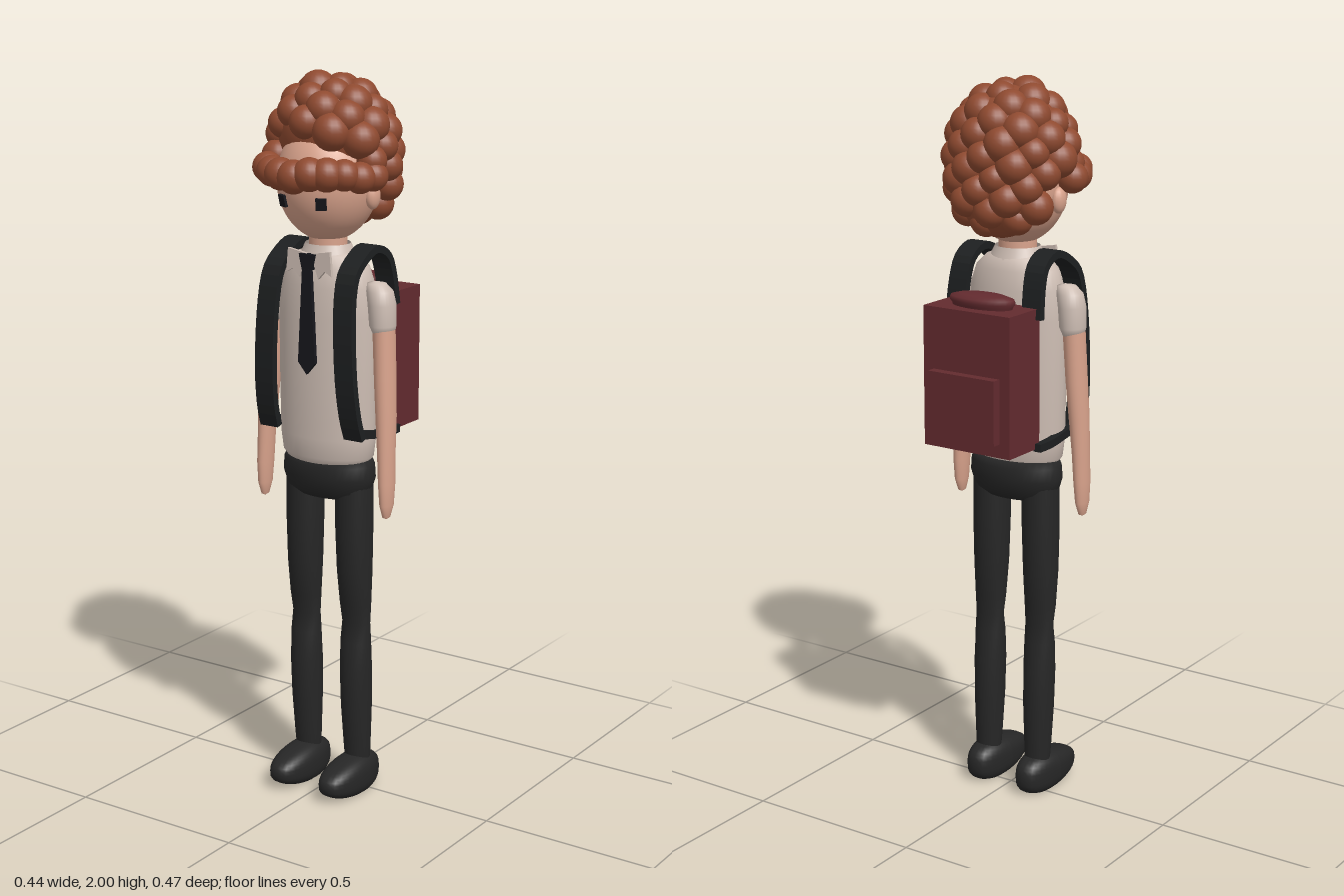
import * as THREE from 'three';

const mat = (name, color, side = THREE.FrontSide) =>
  Object.assign(new THREE.MeshStandardMaterial({ color, side }), { name });

export function createModel() {
  const root = new THREE.Group();
  root.name = 'student';
  const skin = mat('skin', 0xd9a38c);
  const hair = mat('hair', 0x8f4a30);
  const shirt = mat('shirt', 0xcdbdb3, THREE.DoubleSide);
  const trousers = mat('trousers', 0x262626);
  const strapMat = mat('strap', 0x1d1f20);
  const tieMat = mat('tie', 0x16171c);
  const pack = mat('backpack', 0x632b2f);

  const add = (name, geo, m, parent = root) => {
    const mesh = new THREE.Mesh(geo, m);
    mesh.name = name;
    parent.add(mesh);
    return mesh;
  };

  // Smooth body from elliptical rings [y, cx, cz, rx, rz], listed bottom to top
  const loft = (rings, n = 28) => {
    const pos = [], idx = [];
    rings.forEach(([y, cx, cz, rx, rz]) => {
      for (let i = 0; i < n; i++) {
        const a = (i / n) * Math.PI * 2;
        pos.push(cx + rx * Math.cos(a), y, cz + rz * Math.sin(a));
      }
    });
    for (let r = 0; r < rings.length - 1; r++) {
      for (let i = 0; i < n; i++) {
        const a = r * n + i, b = r * n + (i + 1) % n;
        idx.push(a, a + n, b, b, a + n, b + n);
      }
    }
    const g = new THREE.BufferGeometry();
    g.setAttribute('position', new THREE.Float32BufferAttribute(pos, 3));
    g.setIndex(idx);
    g.computeVertexNormals();
    return g;
  };

  const ellipsoid = (x, y, z, rx, ry, rz, w = 32, h = 20) =>
    new THREE.SphereGeometry(1, w, h).scale(rx, ry, rz).translate(x, y, z);

  // Thin plate cut from an outline in the xy plane
  const plate = (pts, depth) => new THREE.ExtrudeGeometry(
    new THREE.Shape(pts.map(p => new THREE.Vector2(...p))), { depth, bevelEnabled: false });

  // Flat band following a [z, y] path, leaning sideways by xAt(y)
  const band = (path, width, thick, xAt) => {
    const curve = new THREE.SplineCurve(path.map(p => new THREE.Vector2(...p)));
    const outer = [], inner = [];
    for (let i = 0; i <= 28; i++) {
      const p = curve.getPoint(i / 28), t = curve.getTangent(i / 28);
      outer.push([p.x - t.y * thick / 2, p.y + t.x * thick / 2]);
      inner.unshift([p.x + t.y * thick / 2, p.y - t.x * thick / 2]);
    }
    const g = plate([...outer, ...inner], width);
    g.rotateY(-Math.PI / 2).translate(width / 2, 0, 0);
    const p = g.attributes.position;
    for (let i = 0; i < p.count; i++) p.setX(i, p.getX(i) + xAt(p.getY(i)));
    g.computeVertexNormals();
    return g;
  };

  // Torso, hips and neck
  add('shirt', loft([
    [0.95, 0, 0.03, 0, 0], [0.95, 0, 0.03, 0.115, 0.075], [0.975, 0, 0.03, 0.136, 0.086],
    [1.03, 0, 0.03, 0.143, 0.092], [1.2, 0, 0.03, 0.145, 0.094], [1.36, 0, 0.03, 0.147, 0.092],
    [1.44, 0, 0.03, 0.14, 0.088], [1.49, 0, 0.03, 0.122, 0.08], [1.52, 0, 0.03, 0.09, 0.068],
    [1.535, 0, 0.03, 0.05, 0.045], [1.535, 0, 0.03, 0, 0]], 36), shirt);
  add('hips', loft([
    [0.855, 0, 0.025, 0, 0], [0.855, 0, 0.025, 0.1, 0.055], [0.875, 0, 0.025, 0.128, 0.075],
    [0.915, 0, 0.025, 0.14, 0.087], [0.95, 0, 0.025, 0.137, 0.087], [0.97, 0, 0.025, 0.128, 0.08],
    [0.972, 0, 0.025, 0, 0]], 36), trousers);
  add('neck', loft([[1.5, 0, 0.03, 0.052, 0.05], [1.62, 0, 0.03, 0.052, 0.05]]), skin);
  add('collarStand', loft([[1.515, 0, 0.03, 0.078, 0.07], [1.548, 0, 0.03, 0.062, 0.058]]), shirt);

  // Limbs, collar wings and straps, one set per side
  for (const s of [1, -1]) {
    const side = new THREE.Group();
    side.name = s > 0 ? 'leftSide' : 'rightSide';
    root.add(side);

    add('sleeve', loft([
      [1.322, s * 0.178, 0.032, 0, 0], [1.322, s * 0.178, 0.032, 0.027, 0.032],
      [1.345, s * 0.175, 0.032, 0.035, 0.039], [1.4, s * 0.172, 0.032, 0.037, 0.04],
      [1.435, s * 0.165, 0.032, 0.036, 0.036], [1.455, s * 0.155, 0.032, 0.026, 0.024],
      [1.46, s * 0.15, 0.032, 0, 0]]), shirt, side);
    add('arm', loft([
      [0.82, s * 0.2, 0.048, 0, 0], [0.826, s * 0.2, 0.048, 0.009, 0.014],
      [0.86, s * 0.2, 0.047, 0.016, 0.026], [0.92, s * 0.199, 0.046, 0.02, 0.03],
      [1.0, s * 0.196, 0.044, 0.022, 0.03], [1.1, s * 0.192, 0.04, 0.026, 0.033],
      [1.2, s * 0.186, 0.036, 0.028, 0.034], [1.35, s * 0.178, 0.032, 0.029, 0.034]]), skin, side);
    add('leg', loft([
      [0.08, s * 0.083, 0.008, 0.036, 0.032], [0.13, s * 0.083, 0.01, 0.039, 0.035],
      [0.25, s * 0.083, 0.014, 0.043, 0.044], [0.36, s * 0.083, 0.017, 0.045, 0.045],
      [0.44, s * 0.083, 0.018, 0.045, 0.036], [0.495, s * 0.083, 0.016, 0.043, 0.026],
      [0.55, s * 0.083, 0.02, 0.046, 0.036], [0.65, s * 0.082, 0.023, 0.05, 0.047],
      [0.78, s * 0.081, 0.024, 0.052, 0.053], [0.9, s * 0.08, 0.024, 0.052, 0.053]]), trousers, side);

    // Shoe: squared-off ball with a flat sole, lower toward the toe
    const shoe = new THREE.SphereGeometry(1, 32, 20);
    const p = shoe.attributes.position;
    const sq = v => Math.sign(v) * Math.abs(v) ** 0.75;
    for (let i = 0; i < p.count; i++) {
      const z = p.getZ(i);
      const y = 0.048 + sq(p.getY(i)) * (0.056 - 0.012 * z);
      p.setXYZ(i, s * 0.083 + sq(p.getX(i)) * 0.054, Math.max(y, 0), 0.05 + z * 0.12);
    }
    shoe.computeVertexNormals();
    add('shoe', shoe, trousers, side);

    // Collar wing
    const wing = [[0.006, 1.53], [0.03, 1.465], [0.05, 1.487], [0.072, 1.475], [0.066, 1.54]];
    const pts = wing.map(([x, y]) => [s * x, y]);
    const wingMesh = add('collarWing', plate(pts, 0.009), shirt, side);
    wingMesh.position.z = 0.112;

    // Shoulder strap and the thin strap back under the arm
    add('shoulderStrap', band([[-0.08, 1.38], [-0.068, 1.46], [-0.045, 1.515], [0.01, 1.54],
      [0.07, 1.515], [0.115, 1.47], [0.135, 1.37], [0.138, 1.22], [0.125, 1.11], [0.105, 1.045]],
    0.058, 0.02, y => s * (0.115 + (1.55 - y) * 0.042)), strapMat, side);
    add('lowerStrap', band([[0.115, 1.06], [0.04, 1.045], [-0.03, 1.035], [-0.09, 1.035]],
      0.022, 0.022, () => s * 0.143), strapMat, side);
  }

  // Tie
  add('tieKnot', plate([[-0.024, 1.53], [-0.014, 1.488], [0.014, 1.488], [0.024, 1.53]], 0.02), tieMat)
    .position.z = 0.112;
  add('tieBlade', plate([[-0.013, 1.49], [-0.027, 1.24], [0, 1.208], [0.027, 1.24], [0.013, 1.49]], 0.012), tieMat)
    .position.z = 0.121;

  // Backpack
  const bag = new THREE.Group();
  bag.name = 'backpack';
  root.add(bag);
  add('bagBody', new THREE.BoxGeometry(0.274, 0.38, 0.14).translate(0, 1.22, -0.14), pack, bag);
  add('bagPocket', new THREE.BoxGeometry(0.21, 0.175, 0.03).translate(0, 1.155, -0.221), pack, bag);
  add('bagTop', loft([
    [1.4, 0, -0.135, 0.09, 0.042], [1.415, 0, -0.135, 0.092, 0.044], [1.425, 0, -0.135, 0.1, 0.051],
    [1.435, 0, -0.135, 0.096, 0.047], [1.442, 0, -0.135, 0.07, 0.034], [1.443, 0, -0.135, 0, 0]]), pack, bag);

  // Head, ears and eyes
  const head = new THREE.Group();
  head.name = 'head';
  root.add(head);
  add('face', ellipsoid(0, 1.715, 0.03, 0.135, 0.163, 0.138, 40, 28), skin, head);
  for (const s of [1, -1]) {
    add('ear', ellipsoid(s * 0.135, 1.68, 0.022, 0.018, 0.035, 0.025, 16, 12), skin, head);
    const eye = add('eye', new THREE.BoxGeometry(0.028, 0.032, 0.008), tieMat, head);
    eye.position.set(s * 0.06, 1.668, 0.150);
    eye.rotation.set(0.22, s * 0.42, 0, 'YXZ');
  }

  // Curly hair: two cores covered in overlapping curls
  const curls = new THREE.Group();
  curls.name = 'hair';
  root.add(curls);
  add('hairCrown', ellipsoid(0, 1.835, 0, 0.155, 0.14, 0.135), hair, curls);
  add('hairBack', ellipsoid(0, 1.72, -0.055, 0.135, 0.14, 0.085), hair, curls);
  let seed = 7;
  const rand = () => (seed = (seed * 16807) % 2147483647) / 2147483647;
  const curl = (x, y, z, r) => add('curl', ellipsoid(x, y, z, r, r, r, 20, 14), hair, curls);
  const count = 84;
  for (let i = 0; i < count; i++) {
    const t = 1 - (2 * i + 1) / count, a = i * 2.39996;
    const h = t > 0 ? Math.sqrt(1 - t * t) : Math.sqrt(1 - t ** 4);
    const x = 0.15 * h * Math.cos(a), y = 1.778 + 0.175 * t, z = 0.008 + 0.135 * h * Math.sin(a);
    const r = 0.04 + 0.011 * rand();
    const lowFront = y < 1.845 && z > 0.07;
    const lowSide = y < 1.755 && z > -0.035;
    if (!lowFront && !lowSide && y > 1.592) curl(x, y, z, r);
  }
  // Fringe over the forehead
  for (let i = 0; i < 11; i++) {
    const a = (i / 10 - 0.5) * 2.9;
    curl(0.157 * Math.sin(a), 1.737 + 0.012 * rand(), 0.035 + 0.152 * Math.cos(a), 0.04 + 0.005 * rand());
  }
  return root;
}
